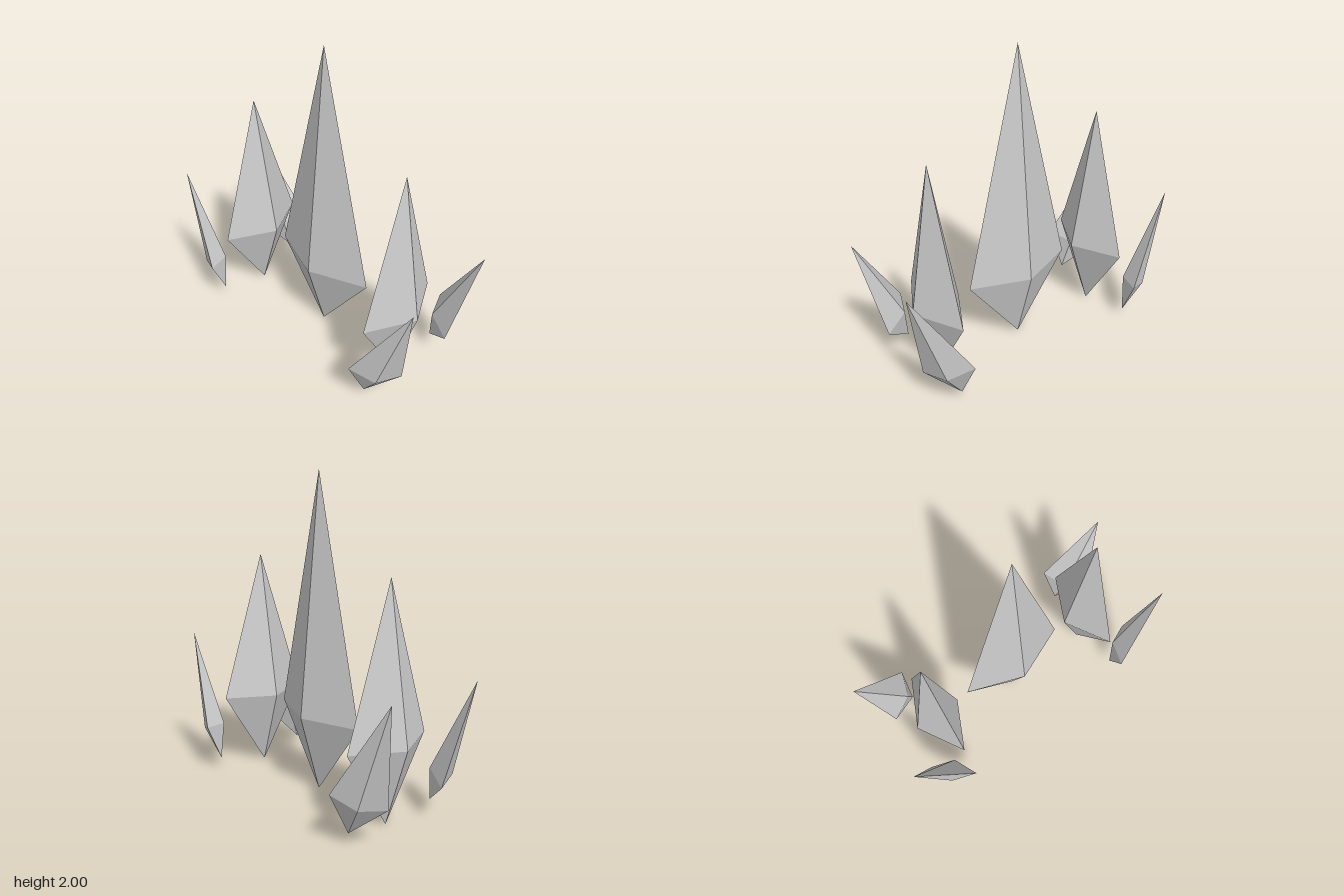
import * as THREE from 'three';

const material = new THREE.MeshStandardMaterial({ color: 0xcccccc, flatShading: true });

// Four-sided crystal: waist at the origin, long point up, short point down
function crystal(name, halfX, halfZ, up, down) {
  const geometry = new THREE.OctahedronGeometry(1);
  const p = geometry.attributes.position;
  for (let i = 0; i < p.count; i++) {
    const y = p.getY(i);
    p.setXYZ(i, p.getX(i) * halfX, y * (y > 0 ? up : down), p.getZ(i) * halfZ);
  }
  geometry.computeVertexNormals();
  const mesh = new THREE.Mesh(geometry, material);
  mesh.name = name;
  return mesh;
}

export function createModel() {
  const group = new THREE.Group();
  group.name = 'crystalCluster';

  // Tall central crystal
  const centre = crystal('centreCrystal', 0.37, 0.143, 1.495, 0.505);
  centre.position.y = 0.505;
  group.add(centre);

  for (const sx of [1, -1]) {
    const side = sx > 0 ? 'left' : 'right';

    // Upright crystal on each side
    const upright = crystal(side + 'SideCrystal', 0.16, 0.302, 0.942, 0.505);
    upright.position.set(sx * 0.613, 0.505, 0);
    group.add(upright);

    // Small corner crystals leaning outwards
    for (const sz of [1, -1]) {
      const corner = crystal(side + (sz > 0 ? 'Front' : 'Back') + 'CornerCrystal', 0.163, 0.069, 0.65, 0.227);
      corner.position.set(sx * 0.736, 0.287, sz * 0.324);
      corner.rotation.set(0, sx * sz * Math.PI / 4, -sx * 0.362, 'ZYX');
      group.add(corner);
    }
  }
  return group;
}
